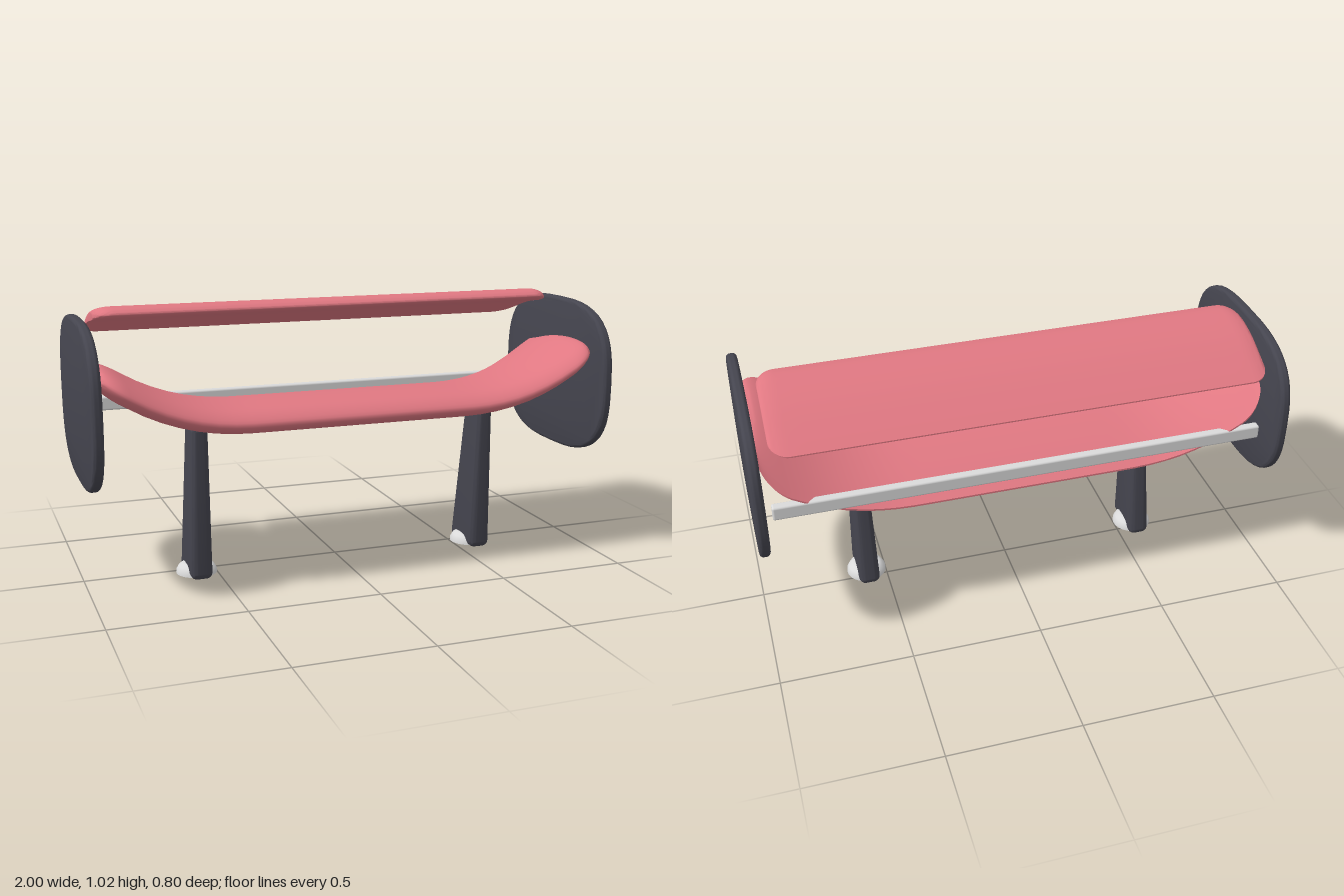
import * as THREE from 'three';
import { toCreasedNormals } from 'three/addons/utils/BufferGeometryUtils.js';
import { RoundedBoxGeometry } from 'three/addons/geometries/RoundedBoxGeometry.js';

const mat = (name, color) => {
  const m = new THREE.MeshStandardMaterial({ color });
  m.name = name;
  return m;
};

// Lofts a [z, y] wing profile along x; corners are rounded and the tips can sweep up
function loftWing(points, { halfSpan, corner, tipThickness, lift }) {
  const curve = new THREE.CatmullRomCurve3(points.map(([z, y]) => new THREE.Vector3(0, y, z)), false, 'centripetal');
  const profile = curve.getPoints(44);
  const n = profile.length;
  const zs = points.map(p => p[0]), ys = points.map(p => p[1]);
  const z0 = (Math.max(...zs) + Math.min(...zs)) / 2, y0 = (Math.max(...ys) + Math.min(...ys)) / 2;
  const halfChord = Math.max(...zs) - z0;

  // Stations: even along the span, denser round each corner
  const right = [];
  const flat = halfSpan - corner;
  for (let i = 0; i <= 14; i++) right.push(flat * i / 14);
  for (let i = 1; i <= 10; i++) right.push(flat + corner * Math.sin(i / 10 * Math.PI / 2));
  const stations = [...right.slice(1).reverse().map(x => -x), ...right];

  const pos = [], index = [];
  for (const x of stations) {
    const e = Math.max(0, (Math.abs(x) - flat) / corner);
    const s = Math.sqrt(Math.max(0, 1 - e * e));
    const chord = 1 - corner * (1 - s) / halfChord;
    const thick = tipThickness + (1 - tipThickness) * s;
    for (const p of profile) pos.push(x, y0 + (p.y - y0) * thick + lift(Math.abs(x)), z0 + (p.z - z0) * chord);
  }
  const last = stations.length - 1;
  for (let i = 0; i < last; i++) {
    for (let j = 0; j < n; j++) {
      const k = (j + 1) % n, a = i * n + j, b = i * n + k;
      index.push(a, b, a + n, b, b + n, a + n);
    }
  }
  // End caps
  for (const [row, x] of [[0, -halfSpan], [last, halfSpan]]) {
    const c = pos.length / 3;
    pos.push(x, y0 + lift(halfSpan), z0);
    for (let j = 0; j < n; j++) {
      const a = row * n + j, b = row * n + (j + 1) % n;
      if (row) index.push(c, a, b); else index.push(c, b, a);
    }
  }
  const g = new THREE.BufferGeometry();
  g.setAttribute('position', new THREE.Float32BufferAttribute(pos, 3));
  g.setIndex(index);
  return toCreasedNormals(g, 0.9);
}

// Rounded-rectangle plate standing in the z-y plane
function endPlateGeometry() {
  const bevel = 0.015, pts = [];
  for (let i = 0; i < 48; i++) {
    const a = i / 48 * Math.PI * 2, c = Math.cos(a), s = Math.sin(a);
    const f = v => Math.sign(v) * Math.abs(v) ** (2 / 3);
    pts.push(new THREE.Vector2(f(c) * (0.4 - bevel), f(s) * (0.305 - bevel)));
  }
  const g = new THREE.ExtrudeGeometry(new THREE.Shape(pts), {
    depth: 0.01, bevelEnabled: true, bevelThickness: bevel, bevelSize: bevel, bevelSegments: 4,
  });
  g.translate(0, 0, -0.005);
  g.rotateY(Math.PI / 2);
  return toCreasedNormals(g, 0.7);
}

// Tapered leg, wider at the ground and leaning forward at the top
function legGeometry() {
  const h = 0.6;
  const g = new RoundedBoxGeometry(0.084, h, 0.206, 4, 0.025);
  const p = g.attributes.position;
  for (let i = 0; i < p.count; i++) {
    const t = p.getY(i) / h + 0.5;
    const z = p.getZ(i) * (1 - 0.39 * t) + 0.043 + 0.055 * t;
    p.setXYZ(i, p.getX(i) * (1 - 0.3 * t), t * h, z);
  }
  return toCreasedNormals(g, 0.9);
}

export function createModel() {
  const red = mat('coral red', 0xe07882);
  const dark = mat('charcoal', 0x45454f);
  const silver = mat('silver', 0xdadada);
  const model = new THREE.Group();
  model.name = 'rearWing';
  const add = (name, geometry, material, x = 0, y = 0, z = 0) => {
    const m = new THREE.Mesh(geometry, material);
    m.name = name;
    m.position.set(x, y, z);
    model.add(m);
  };

  // Main plane with upswept tips
  add('mainPlane', loftWing([
    [-0.3, 0.552], [-0.2, 0.603], [-0.05, 0.658], [0.12, 0.688], [0.25, 0.687], [0.325, 0.667],
    [0.36, 0.632], [0.33, 0.602], [0.16, 0.573], [-0.05, 0.553], [-0.2, 0.546], [-0.3, 0.545],
  ], {
    halfSpan: 0.96, corner: 0.1, tipThickness: 0.3,
    lift: x => 0.185 * (Math.max(0, x - 0.4) / 0.55) ** 2.3,
  }), red);

  // Upper flap
  add('upperFlap', loftWing([
    [-0.36, 0.894], [-0.3, 0.928], [-0.2, 0.98], [-0.12, 1.009], [-0.04, 1.025], [0.015, 1.018],
    [0.033, 1.003], [0.015, 0.99], [-0.1, 0.968], [-0.2, 0.942], [-0.3, 0.908], [-0.36, 0.889],
  ], { halfSpan: 0.92, corner: 0.07, tipThickness: 0.6, lift: () => 0 }), red);

  // Cross bar along the trailing edge
  add('crossBar', new RoundedBoxGeometry(1.87, 0.055, 0.035, 3, 0.008), silver, 0, 0.618, -0.285);

  // Mirrored end plates, legs and feet
  const plate = endPlateGeometry(), leg = legGeometry();
  const foot = toCreasedNormals(new THREE.LatheGeometry([
    [0, 0], [0.078, 0], [0.077, 0.012], [0.068, 0.028], [0.055, 0.037], [0.04, 0.04], [0, 0.04],
  ].map(([r, y]) => new THREE.Vector2(r, y)), 32), 0.7);
  for (const [side, s] of [['left', 1], ['right', -1]]) {
    add(side + 'EndPlate', plate, dark, s * 0.98, 0.69, 0);
    add(side + 'Leg', leg, dark, s * 0.577, 0, 0);
    add(side + 'Foot', foot, silver, s * 0.577, 0.003, 0.04);
  }
  return model;
}
